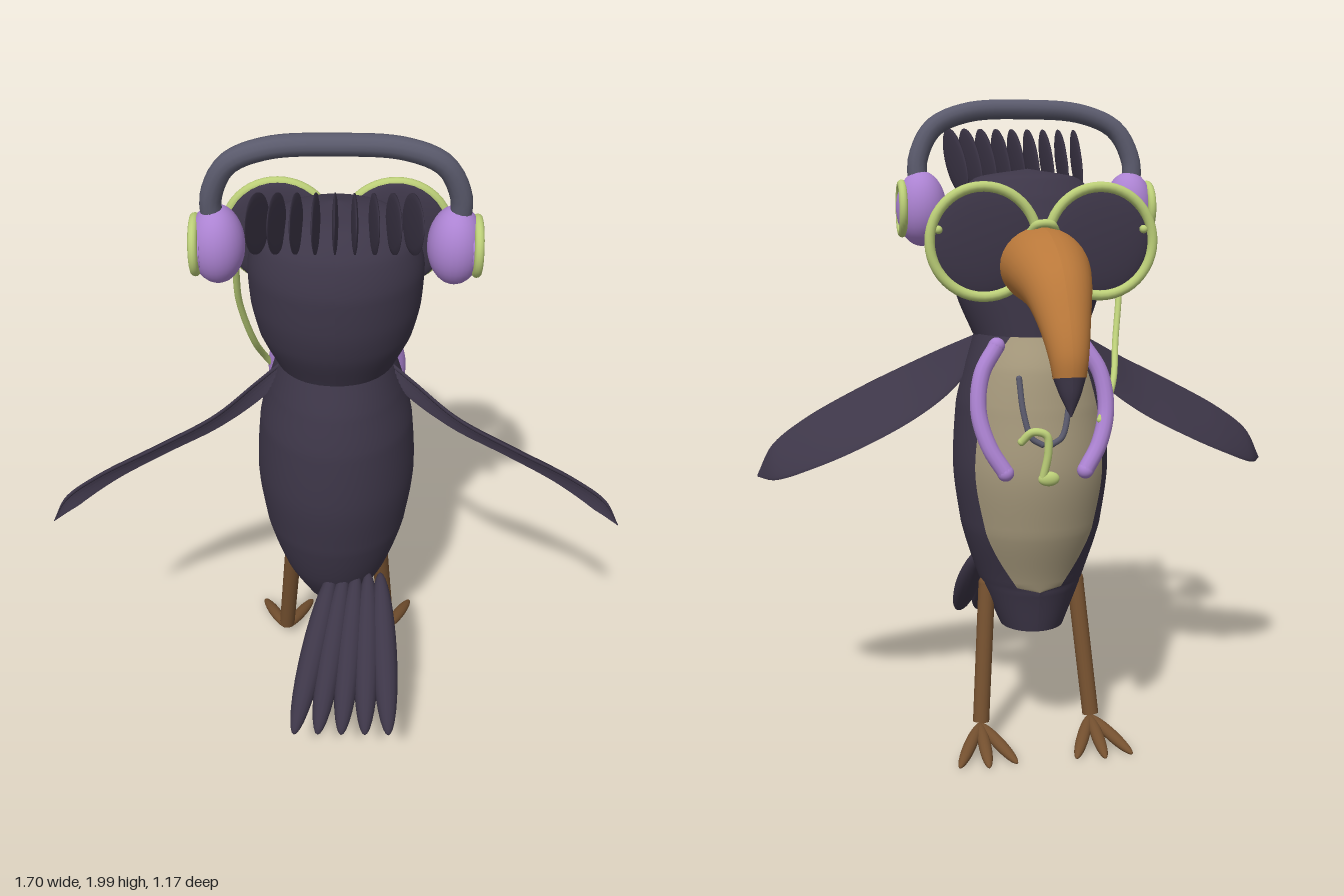
import * as THREE from 'three';

const mat = (name, color) => { const m = new THREE.MeshStandardMaterial({ color }); m.name = name; return m; };
const V = (x, y, z) => new THREE.Vector3(x, y, z);
const curve = (pts) => new THREE.CatmullRomCurve3(pts.map((p) => V(...p)));

export function createModel() {
  const plumage = mat('plumage', 0x3d3648), bellyTan = mat('bellyTan', 0xa6997c), beakOrange = mat('beakOrange', 0xb9783a);
  const legBrown = mat('legBrown', 0x74502f), bandGrey = mat('bandGrey', 0x5a5a6c);
  const purple = mat('purple', 0xac83d2), lime = mat('lime', 0xbccf78);
  const model = new THREE.Group();
  model.name = 'bird';

  const add = (name, geo, material, parent = model) => {
    const m = new THREE.Mesh(geo, material);
    m.name = name;
    parent.add(m);
    return m;
  };
  // Surface from a rule: u runs around, v runs along
  const surface = (f, nu, nv) => {
    const g = new THREE.PlaneGeometry(1, 1, nu, nv), p = g.attributes.position;
    for (let i = 0; i < p.count; i++) {
      const q = f(p.getX(i) + 0.5, p.getY(i) + 0.5);
      p.setXYZ(i, q.x, q.y, q.z);
    }
    g.computeVertexNormals();
    return g;
  };
  // Elliptical cross-sections [y, z, half width, half depth] blended smoothly
  const sections = (rows) => {
    const c = curve(rows.map((r) => [0, r[0], r[1]])), s = curve(rows.map((r) => [r[2], 0, r[3]]));
    return (t) => ({ c: c.getPoint(t), t: c.getTangent(t), r: s.getPoint(t) });
  };
  const ring = (s, a) => V(Math.sin(a) * s.r.x, s.c.y, s.c.z + Math.cos(a) * s.r.z);
  const ball = (name, pos, r, material, parent) => {
    const m = add(name, new THREE.SphereGeometry(1, 28, 18), material, parent);
    m.position.set(...pos);
    m.scale.set(...r);
  };
  // Places a mesh halfway between two points with its z axis along them
  const between = (m, a, b) => {
    m.position.copy(a).add(b).multiplyScalar(0.5);
    m.quaternion.setFromRotationMatrix(new THREE.Matrix4().lookAt(b, a, V(0, 1, 0)));
  };
  // Flattened leaf stretched between two points
  const leaf = (name, a, b, w, t, material, parent) => {
    const m = add(name, new THREE.SphereGeometry(1, 14, 16).rotateX(Math.PI / 2), material, parent);
    m.scale.set(w, t, a.distanceTo(b) / 2);
    between(m, a, b);
  };
  const tube = (name, pts, r, material, parent) => {
    add(name, new THREE.TubeGeometry(curve(pts), 40, r, 12), material, parent);
    for (const p of [pts[0], pts[pts.length - 1]]) ball(name + 'End', p, [r, r, r], material, parent);
  };

  // Body, with the belly as the front slice of the same form
  const body = sections([
    [0.37, 0.017, 0.1, 0.113], [0.52, 0.045, 0.165, 0.178], [0.7, 0.042, 0.22, 0.24], [0.9, 0.04, 0.242, 0.268],
    [1.08, 0.045, 0.23, 0.255], [1.2, 0.042, 0.2, 0.23], [1.295, 0.045, 0.172, 0.188],
  ]);
  const edge = (s) => (s.c.y < 0.515 ? Math.PI : Math.acos(Math.max(-1, Math.min(1, (-0.117 - s.c.z) / s.r.z))));
  add('body', surface((u, v) => { const s = body(v); return ring(s, edge(s) * (2 * u - 1)); }, 48, 60), plumage);
  add('belly', surface((u, v) => {
    const s = body(v), e = edge(s);
    return ring(s, e + (2 * Math.PI - 2 * e) * u);
  }, 24, 60), bellyTan);
  const base = add('bodyBase', new THREE.CircleGeometry(1, 32).rotateX(Math.PI / 2), plumage);
  base.scale.set(0.1, 1, 0.113);
  base.position.set(0, 0.37, 0.017);

  // Head
  const head = sections([
    [1.29, 0.055, 0.175, 0.178], [1.4, 0.08, 0.22, 0.203], [1.5, 0.09, 0.24, 0.213], [1.6, 0.098, 0.245, 0.208],
    [1.7, 0.105, 0.223, 0.172], [1.765, 0.095, 0.155, 0.115], [1.79, 0.075, 0.001, 0.001],
  ]);
  add('head', surface((u, v) => ring(head(v), u * 2 * Math.PI), 48, 40), plumage);

  // Curved beak and its dark tip
  const beak = sections([
    [1.51, -0.06, 0.125, 0.11], [1.505, -0.17, 0.126, 0.112], [1.49, -0.27, 0.118, 0.105], [1.445, -0.39, 0.095, 0.088],
    [1.36, -0.48, 0.07, 0.066], [1.28, -0.53, 0.054, 0.053], [1.225, -0.54, 0.045, 0.045],
  ]);
  const bent = (sec) => (u, v) => {
    const s = sec(v), n = V(1, 0, 0).cross(s.t), a = u * 2 * Math.PI;
    return s.c.clone().addScaledVector(n, Math.cos(a) * s.r.z).setX(Math.sin(a) * s.r.x);
  };
  add('beak', surface(bent(beak), 32, 40), beakOrange);
  const tip = sections([[1.232, -0.538, 0.046, 0.046], [1.18, -0.551, 0.028, 0.028], [1.125, -0.562, 0.002, 0.002]]);
  add('beakTip', surface(bent(tip), 24, 10), plumage);

  // Crest of thin upright feathers
  for (let i = 0; i < 9; i++) {
    const x = (i - 4) / 4;
    leaf('crestFeather', V(0.18 * x, 1.74, 0.11), V(0.215 * x, 1.9, 0.45), 0.008, 0.08, plumage);
  }

  // Tail fan
  for (let i = 0; i < 5; i++) {
    leaf('tailFeather', V(-0.01 + 0.038 * i, 0.55, 0.19), V(-0.125 + 0.073 * i, 0.235, 0.585), 0.04, 0.042, plumage);
  }

  // Wing: smooth on top, ridged feathers on the rear underside
  const lead = curve([[0.15, 1.23, 0.06], [0.24, 1.12, 0.045], [0.36, 1.03, 0.045], [0.53, 0.94, 0.055], [0.67, 0.875, 0.1],
    [0.79, 0.825, 0.18], [0.85, 0.82, 0.27]]);
  const trail = curve([[0.15, 1.29, 0.09], [0.23, 1.25, 0.15], [0.35, 1.185, 0.235], [0.52, 1.1, 0.272], [0.7, 1.0, 0.28],
    [0.8, 0.92, 0.28], [0.85, 0.825, 0.275]]);
  const wingNormal = V(0.36, 0.74, -0.56);
  const wingGeo = surface((u, v) => {
    const top = u <= 0.5, c = top ? 2 * u : 2 - 2 * u;
    const lift = top ? 0.012 : -0.006 - 0.016 * ((c * 9) % 1);
    const swell = Math.sqrt(Math.sin(Math.PI * c) + 1e-6) * Math.min(1, (1 - v) * 6);
    return lead.getPoint(v).lerp(trail.getPoint(v), c).addScaledVector(wingNormal, lift * swell);
  }, 108, 40);

  // Paired parts, built for +x and mirrored
  for (const side of [1, -1]) {
    const half = new THREE.Group();
    half.name = side > 0 ? 'plusSide' : 'minusSide';
    half.scale.x = side;
    model.add(half);
    add('wing', wingGeo, plumage, half);

    // Leg and toes
    const a = V(0.177, 0.075, -0.068), b = V(0.143, 0.5, 0.018);
    between(add('leg', new THREE.CylinderGeometry(0.027, 0.026, a.distanceTo(b), 16).rotateX(Math.PI / 2), legBrown, half), a, b);
    ball('hip', [0.143, 0.5, 0.018], [0.027, 0.027, 0.027], legBrown, half);
    for (const [x, z] of [[0.268, -0.25], [0.18, -0.265], [0.092, -0.25]]) {
      leaf('toe', V(0.178, 0.062, -0.052), V(x, 0.01, z), 0.02, 0.018, legBrown, half);
    }

    // Glasses: lens, rim and arm
    ball('lens', [0.17, 1.575, -0.142], [0.155, 0.165, 0.027], plumage, half);
    add('rim', new THREE.TorusGeometry(0.157, 0.015, 12, 48), lime, half).position.set(0.172, 1.575, -0.168);
    tube('glassesArm', [[0.303, 1.61, -0.165], [0.303, 1.615, -0.07], [0.303, 1.62, 0.02]], 0.012, lime, half);

    // Headphone cup and trim
    ball('earCup', [0.325, 1.67, 0.1], [0.077, 0.113, 0.085], purple, half);
    const trim = add('earCupTrim', new THREE.TorusGeometry(0.074, 0.013, 12, 40).rotateY(Math.PI / 2), lime, half);
    trim.position.set(0.384, 1.67, 0.105);
    const pad = add('earCupDisc', new THREE.CylinderGeometry(0.07, 0.07, 0.02, 32).rotateZ(Math.PI / 2), purple, half);
    pad.position.set(0.378, 1.67, 0.105);

    // Chest strap and drawstring
    tube('strap', [[0.13, 1.27, -0.122], [0.178, 1.19, -0.145], [0.192, 1.08, -0.172], [0.165, 0.98, -0.2],
      [0.12, 0.905, -0.218]], 0.025, purple, half);
    tube('drawstring', [[0.075, 1.18, -0.192], [0.066, 1.08, -0.218], [0.045, 1.01, -0.234], [0.015, 0.99, -0.238]],
      0.009, bandGrey, half);
  }

  // Bridge of the glasses
  tube('bridge', [[-0.04, 1.6, -0.17], [-0.02, 1.625, -0.195], [0.02, 1.625, -0.195], [0.04, 1.6, -0.17]], 0.012, lime);

  // Headphone band
  tube('headBand', [[-0.335, 1.74, 0.1], [-0.332, 1.82, 0.108], [-0.285, 1.91, 0.118], [-0.18, 1.958, 0.126], [0, 1.97, 0.13],
    [0.18, 1.958, 0.126], [0.285, 1.91, 0.118], [0.332, 1.82, 0.108], [0.335, 1.74, 0.1]], 0.03, bandGrey);

  // Cord from the cup to the chest, then the clip with its bead
  tube('cord', [[-0.28, 1.58, 0.08], [-0.28, 1.45, 0.03], [-0.25, 1.27, -0.05], [-0.22, 1.15, -0.14], [-0.17, 1.05, -0.19]],
    0.01, lime);
  tube('clip', [[0.075, 1.0, -0.235], [0.045, 1.03, -0.25], [0.005, 1.02, -0.255], [0.0, 0.97, -0.255], [0.015, 0.89, -0.25]],
    0.012, lime);
  ball('clipBead', [-0.003, 0.89, -0.25], [0.032, 0.022, 0.016], lime);

  return model;
}
